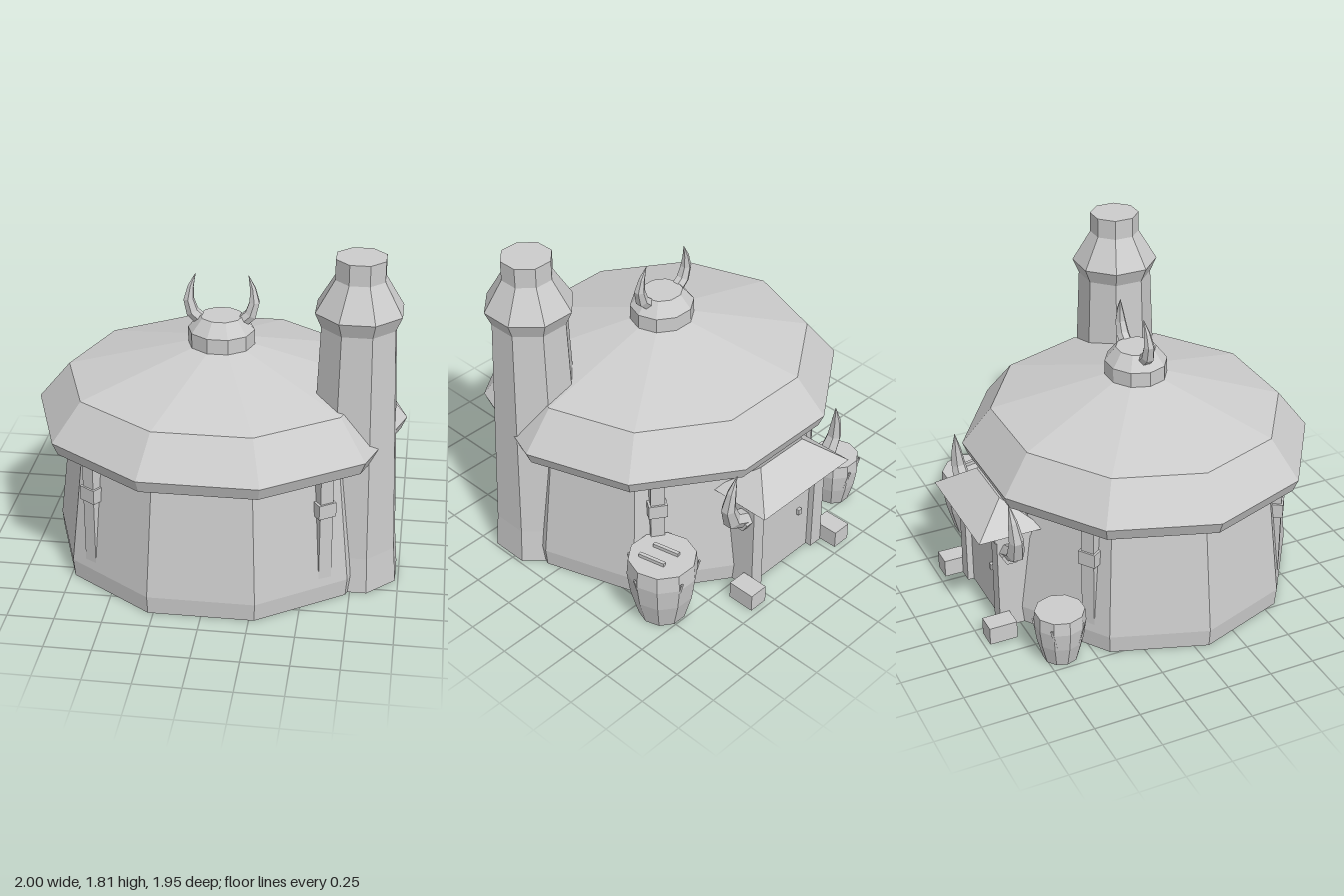
import * as THREE from 'three';

const stone = new THREE.MeshStandardMaterial({ color: 0xcccccc, flatShading: true, side: THREE.DoubleSide });
stone.name = 'plain grey';

const CZ = 0.075; // centre of the round house along z
const SQUASH = 0.94; // the house is slightly shallower than wide

function add(parent, name, geometry, x = 0, y = 0, z = 0) {
  const mesh = new THREE.Mesh(geometry, stone);
  mesh.name = name;
  mesh.position.set(x, y, z);
  parent.add(mesh);
  return mesh;
}

// Faceted solid of revolution from [radius, height] pairs
function turned(profile, sides, start = Math.PI / 2) {
  return new THREE.LatheGeometry(profile.map(p => new THREE.Vector2(p[0], p[1])), sides, start);
}

// Curved horn: a tube whose rings shrink towards the tip
function hornGeometry(points, radii) {
  const curve = new THREE.CatmullRomCurve3(points.map(p => new THREE.Vector3(...p)));
  const rings = radii.length - 1, sides = 6;
  const geo = new THREE.TubeGeometry(curve, rings, 1, sides);
  const pos = geo.attributes.position;
  const v = new THREE.Vector3();
  for (let i = 0; i <= rings; i++) {
    const c = curve.getPointAt(i / rings);
    for (let j = 0; j <= sides; j++) {
      const k = i * (sides + 1) + j;
      v.fromBufferAttribute(pos, k).sub(c).multiplyScalar(radii[i]).add(c);
      pos.setXYZ(k, v.x, v.y, v.z);
    }
  }
  return geo;
}

// Hipped roof: a box whose top edge is pinched to a ridge
function hipRoof(width, depth, height, ridge) {
  const geo = new THREE.BoxGeometry(width, height, depth);
  const pos = geo.attributes.position;
  for (let i = 0; i < pos.count; i++) {
    if (pos.getY(i) > 0) pos.setXYZ(i, Math.sign(pos.getX(i)) * ridge / 2, height / 2, 0);
  }
  return geo;
}

// Keg with slanted slats on its sides
function keg(name, x, z, r, h) {
  const g = new THREE.Group();
  g.name = name;
  g.position.set(x, 0, z);
  add(g, 'kegBody', turned([[0, 0], [0.68 * r, 0], [0.9 * r, 0.4 * h], [r, 0.75 * h], [0.96 * r, h], [0, h]], 10));
  for (let i = 0; i < 5; i++) {
    const holder = new THREE.Group();
    holder.name = 'slatHolder';
    holder.rotation.y = i * Math.PI * 0.4 + Math.PI / 10;
    const slat = add(holder, 'kegSlat', new THREE.BoxGeometry(0.012, 0.5 * h, 0.009), 0, 0.62 * h, 0.925 * r);
    slat.rotation.set(0.2, 0, i % 2 ? 0.14 : -0.14);
    g.add(holder);
  }
  return g;
}

export function createModel() {
  const model = new THREE.Group();
  model.name = 'roundHouse';

  // Round wall, open below, and the two-pitch roof
  const house = new THREE.Group();
  house.name = 'house';
  house.position.z = CZ;
  house.scale.z = SQUASH;
  model.add(house);
  add(house, 'wall', turned([[0.9, 0], [0.91, 0.1], [0.83, 0.76]], 10));
  add(house, 'roof', turned([[0.8, 0.755], [0.97, 0.755], [1, 0.825], [0.83, 1.03], [0.17, 1.205]], 10));
  add(house, 'roofCap', turned([[0.178, 1.19], [0.178, 1.285], [0.115, 1.36], [0, 1.36]], 10));

  // Cap horns
  for (const s of [-1, 1]) {
    add(model, 'capHorn', hornGeometry(
      [[s * 0.1, 1.32, 0.07], [s * 0.155, 1.37, 0.07], [s * 0.175, 1.46, 0.065], [s * 0.14, 1.58, 0.05]],
      [0.036, 0.036, 0.03, 0.017, 0.001]));
  }

  // Upright posts with collars, set against the slanted wall
  for (const sx of [-1, 1]) for (const sz of [-1, 1]) {
    const post = new THREE.Group();
    post.name = 'wallPost';
    post.position.set(sx * 0.62, 0, CZ + sz * 0.57);
    post.rotation.y = Math.atan2(sx * 0.56, sz * 0.83);
    add(post, 'postLower', new THREE.BoxGeometry(0.075, 0.47, 0.15), 0, 0.28, -0.07);
    add(post, 'postCollar', new THREE.BoxGeometry(0.1, 0.08, 0.17), 0, 0.55, -0.07);
    add(post, 'postUpper', new THREE.BoxGeometry(0.075, 0.18, 0.15), 0, 0.67, -0.07);
    model.add(post);
  }

  // Chimney
  add(model, 'chimney', turned([
    [0.27, 0], [0.253, 0.2], [0.203, 1.45], [0.238, 1.53], [0.136, 1.7], [0.136, 1.81], [0, 1.81],
  ], 8, Math.PI / 8), 0.735, 0, 0.295);

  // Porch at the back
  const porch = new THREE.Group();
  porch.name = 'porch';
  model.add(porch);
  add(porch, 'porchRoof', hipRoof(0.675, 0.37, 0.14, 0.33), 0, 0.67, -0.795);
  add(porch, 'lintel', new THREE.BoxGeometry(0.58, 0.06, 0.24), 0, 0.575, -0.755);
  add(porch, 'door', new THREE.BoxGeometry(0.42, 0.56, 0.2), 0, 0.28, -0.73);
  add(porch, 'doorHandle', new THREE.BoxGeometry(0.025, 0.035, 0.02), -0.12, 0.29, -0.838);
  for (const s of [-1, 1]) {
    add(porch, 'doorPost', new THREE.BoxGeometry(0.08, 0.56, 0.215), s * 0.245, 0.28, -0.757);
    add(porch, 'footBlock', new THREE.BoxGeometry(0.11, 0.1, 0.155), s * 0.345, 0.05, -0.89);
    const socket = add(porch, 'hornSocket', new THREE.CylinderGeometry(0.055, 0.055, 0.06, 6), s * 0.3, 0.475, -0.8);
    socket.rotation.z = Math.PI / 2;
    add(porch, 'porchHorn', hornGeometry(
      [[s * 0.29, 0.48, -0.8], [s * 0.38, 0.52, -0.8], [s * 0.425, 0.64, -0.81], [s * 0.39, 0.84, -0.832]],
      [0.05, 0.05, 0.04, 0.026, 0.001]));
  }

  // Kegs beside the porch, the larger with two sticks on its lid
  const large = keg('largeKeg', 0.715, -0.62, 0.188, 0.38);
  for (const x of [-0.04, 0.065]) {
    const stick = add(large, 'lidStick', new THREE.BoxGeometry(0.02, 0.02, 0.15), x, 0.39, 0.01);
    stick.rotation.y = 0.22;
  }
  model.add(large, keg('smallKeg', -0.635, -0.665, 0.138, 0.29));

  return model;
}
